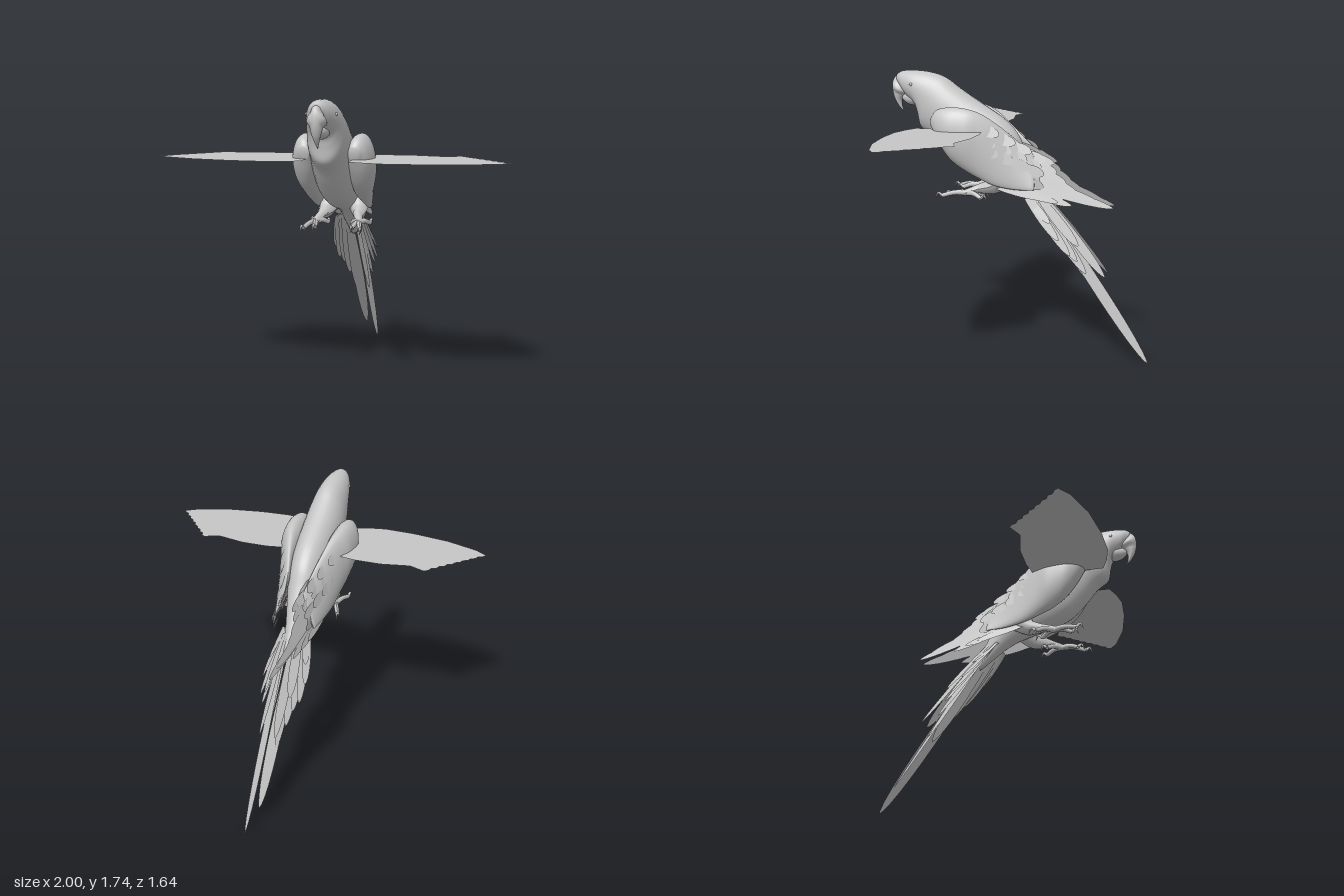
import * as THREE from 'three';

const V = (x, y, z) => new THREE.Vector3(x, y, z);
const plumage = new THREE.MeshStandardMaterial({ color: 0xc6c6c6, side: THREE.DoubleSide });
plumage.name = 'plain grey';

function add(parent, name, geometry) {
  const mesh = new THREE.Mesh(geometry, plumage);
  mesh.name = name;
  parent.add(mesh);
  return mesh;
}

// Smooth skin over oval rings: [topZ, topY, bottomZ, bottomY, halfWidth, centreX, lean of the top toward -x]
function loft(rings, steps = 40, sides = 32) {
  const curve = f => new THREE.CatmullRomCurve3(rings.map(([tz, ty, bz, by, w, x = 0, lean = 0]) => f(tz, ty, bz, by, w, x, lean)));
  const top = curve((tz, ty, bz, by, w, x, lean) => V(x - lean, ty, tz));
  const bottom = curve((tz, ty, bz, by, w, x, lean) => V(x + lean, by, bz));
  const width = curve((tz, ty, bz, by, w) => V(w, 0, 0));
  const pos = [], index = [];
  for (let i = -1; i <= steps + 1; i++) {
    const t = Math.min(Math.max(i / steps, 0), 1);
    const closed = i < 0 || i > steps ? 0 : 1;
    const a = top.getPoint(t), b = bottom.getPoint(t), w = width.getPoint(t).x * closed;
    const c = a.clone().add(b).multiplyScalar(0.5);
    const h = a.sub(b).multiplyScalar(0.5 * closed);
    for (let j = 0; j < sides; j++) {
      const q = j / sides * Math.PI * 2, k = Math.cos(q);
      pos.push(c.x + w * Math.sin(q) + h.x * k, c.y + h.y * k, c.z + h.z * k);
    }
  }
  for (let i = 0; i < steps + 2; i++) for (let j = 0; j < sides; j++) {
    const k = (j + 1) % sides, r = i * sides, n = r + sides;
    index.push(r + j, r + k, n + j, r + k, n + k, n + j);
  }
  const g = new THREE.BufferGeometry();
  g.setAttribute('position', new THREE.Float32BufferAttribute(pos, 3));
  g.setIndex(index);
  g.computeVertexNormals();
  return g;
}

// Thin pointed blade from root to tip, spread along the side vector
function feather(root, tip, width, side) {
  const dir = tip.clone().sub(root), len = dir.length();
  dir.normalize();
  const across = side.clone().addScaledVector(dir, -side.dot(dir)).normalize();
  const normal = across.clone().cross(dir);
  const w = width / 2;
  const s = new THREE.Shape();
  s.moveTo(-w * 0.5, 0);
  s.bezierCurveTo(-w, len * 0.3, -w * 1.15, len * 0.85, -w * 0.2, len * 0.99);
  s.lineTo(0, len);
  s.bezierCurveTo(w * 0.9, len * 0.93, w * 1.15, len * 0.5, w * 0.5, 0);
  const g = new THREE.ShapeGeometry(s, 10);
  return g.applyMatrix4(new THREE.Matrix4().makeBasis(across, dir, normal).setPosition(root));
}

// Tapered tube for legs, toes and claws
function limb(points, r0, r1) {
  const g = new THREE.TubeGeometry(new THREE.CatmullRomCurve3(points), 12, 1, 8);
  const p = g.attributes.position, c = V(0, 0, 0), v = V(0, 0, 0);
  for (let i = 0; i < p.count; i++) {
    const t = Math.floor(i / 9) / 12;
    g.parameters.path.getPointAt(t, c);
    v.fromBufferAttribute(p, i).sub(c).multiplyScalar(r0 + (r1 - r0) * t).add(c);
    p.setXYZ(i, v.x, v.y, v.z);
  }
  g.computeVertexNormals();
  return g;
}

export function createModel() {
  const bird = new THREE.Group();
  bird.name = 'perched bird';

  // Head, trunk and rump
  add(bird, 'body', loft([
    [0.79, 1.715, 0.775, 1.65, 0.03], [0.76, 1.733, 0.72, 1.58, 0.06], [0.68, 1.74, 0.665, 1.53, 0.084],
    [0.58, 1.733, 0.65, 1.47, 0.096], [0.48, 1.705, 0.635, 1.395, 0.107], [0.4, 1.65, 0.565, 1.34, 0.118],
    [0.3, 1.585, 0.49, 1.25, 0.124], [0.2, 1.525, 0.4, 1.16, 0.127], [0.1, 1.46, 0.29, 1.105, 0.12],
    [0.02, 1.375, 0.17, 1.07, 0.105], [-0.03, 1.27, 0.05, 1.03, 0.082], [-0.09, 1.15, -0.03, 0.985, 0.062],
    [-0.15, 1.03, -0.1, 0.93, 0.045], [-0.22, 0.92, -0.19, 0.86, 0.025],
  ], 60));

  // Hooked beak
  add(bird, 'upperBeak', loft([
    [0.757, 1.485, 0.753, 1.487, 0.002], [0.785, 1.52, 0.764, 1.525, 0.014], [0.808, 1.56, 0.762, 1.56, 0.025],
    [0.822, 1.62, 0.735, 1.59, 0.036], [0.812, 1.69, 0.71, 1.61, 0.036], [0.765, 1.728, 0.69, 1.63, 0.032],
  ], 24, 20));
  add(bird, 'lowerBeak', loft([
    [0.762, 1.585, 0.752, 1.555, 0.014], [0.745, 1.6, 0.725, 1.535, 0.03],
    [0.7, 1.615, 0.695, 1.527, 0.045], [0.65, 1.62, 0.65, 1.53, 0.05],
  ], 16, 20));

  for (const s of [1, -1]) {
    const side = new THREE.Group();
    side.name = s > 0 ? 'leftSide' : 'rightSide';
    bird.add(side);
    const P = (x, y, z) => V(s * x, y, z);

    const eye = add(side, 'eye', new THREE.SphereGeometry(0.01, 16, 12));
    eye.position.set(s * 0.079, 1.66, 0.67);

    // Folded wing, its rear leaning in over the back
    add(side, 'foldedWing', loft([
      [0.52, 1.47, 0.51, 1.41, 0.03, 0.14], [0.48, 1.52, 0.455, 1.31, 0.06, 0.152],
      [0.38, 1.54, 0.385, 1.22, 0.08, 0.156], [0.28, 1.53, 0.3, 1.16, 0.079, 0.15],
      [0.2, 1.5, 0.22, 1.12, 0.062, 0.143, 0.01], [0.1, 1.43, 0.12, 1.08, 0.042, 0.13, 0.025],
      [0, 1.345, 0, 1.06, 0.027, 0.11, 0.035], [-0.1, 1.26, -0.12, 1.06, 0.01, 0.095, 0.04],
    ].map(([a, b, c, d, w, x, lean = 0]) => [a, b, c, d, w, s * x, s * lean])));

    // Flight feathers: root y, z, then tip x, y, z, width
    for (const [ry, rz, x, y, z, w] of [
      [1.13, 0.08, 0.035, 0.96, -0.58, 0.07], [1.15, 0.05, 0.05, 0.99, -0.5, 0.075],
      [1.1, 0.1, 0.085, 0.97, -0.34, 0.065], [1.09, 0.12, 0.105, 0.99, -0.26, 0.06],
      [1.08, 0.14, 0.12, 1.01, -0.18, 0.06], [1.18, 0.02, 0.06, 1.05, -0.36, 0.085],
      [1.21, 0.02, 0.06, 1.1, -0.3, 0.085], [1.25, 0.04, 0.05, 1.16, -0.24, 0.085],
      [1.29, 0.06, 0.035, 1.21, -0.22, 0.075], [1.31, 0.08, 0.04, 1.25, -0.13, 0.07],
    ]) add(side, 'flightFeather', feather(P(0.135 - (ry - 1.08) * 0.25, ry, rz), P(x, y, z), w, P(-0.3, 1, 0)));

    // Staggered covert feathers on the wing
    [[0.22, 0.192], [0.13, 0.166], [0.04, 0.142], [-0.04, 0.12]].forEach(([z, x], row) => {
      for (let i = 0; i < 5; i++) {
        const u = (i - 2) / 2, y = 1.31 - row * 0.038 + u * (0.12 - row * 0.015);
        const rx = x - 0.018 * u * u - u * 0.009 * row, rz = z + 0.02 * (i % 2);
        add(side, 'covertFeather', feather(P(rx, y, rz), P(rx - 0.025, y - 0.045, rz - 0.13), 0.075, P(-0.2 - 0.2 * u, 1, 0)));
      }
    });

    // Side tail feathers: tip x, y, z, width, root z
    for (const [x, y, z, w, rz] of [
      [0.115, 0.86, -0.21, 0.06, -0.06], [0.135, 0.76, -0.27, 0.065, -0.06], [0.125, 0.67, -0.34, 0.07, -0.07],
      [0.1, 0.63, -0.38, 0.075, -0.08], [0.075, 0.55, -0.43, 0.08, -0.09], [0.05, 0.53, -0.54, 0.075, -0.15],
      [0.04, 0.43, -0.5, 0.08, -0.12], [0.08, 0.72, -0.38, 0.075, -0.13],
    ]) add(side, 'tailFeather', feather(P(x * 0.6, 1.0, rz), P(x, y, z), w, P(0.65, -0.45, 0.55)));

    // Leg, toes and claws
    add(side, 'thigh', limb([P(0.08, 1.12, 0.09), P(0.098, 1.07, 0.14), P(0.11, 1.045, 0.23)], 0.07, 0.027));
    add(side, 'foot', limb([P(0.1, 1.06, 0.2), P(0.12, 1.035, 0.27), P(0.13, 1.018, 0.32)], 0.028, 0.019));
    for (const [x, z] of [[0.165, 0.45], [0.105, 0.41], [0.175, 0.2], [0.07, 0.22]]) {
      const f = z > 0.3 ? 1 : -1;
      add(side, 'toe', limb([P(0.127, 1.02, 0.3), P((x + 0.127) / 2, 1.022, (z + 0.3) / 2), P(x, 1.003, z)], 0.018, 0.013));
      add(side, 'claw', limb([P(x, 1.003, z), P(x + 0.004, 1.02, z + f * 0.022), P(x + 0.006, 0.985, z + f * 0.04)], 0.011, 0.002));
    }

    // Flat outspread wing plate with a scalloped trailing edge
    const outline = [[0.13, 0.19], [0.13, 0.62], [0.22, 0.655], [0.33, 0.678], [0.52, 0.668], [0.74, 0.63], [0.93, 0.56], [1, 0.508]];
    for (let i = 1; i < 16; i++) {
      const t = i / 16, n = i % 2 ? 0.004 : -0.004;
      outline.push([1 - 0.3 * t + n, 0.508 - 0.34 * t - n]);
    }
    outline.push([0.7, 0.168], [0.61, 0.207], [0.44, 0.17], [0.28, 0.17], [0.2, 0.185]);
    const plate = new THREE.ShapeGeometry(new THREE.Shape(outline.map(([x, z]) => new THREE.Vector2(s * x, -z))));
    add(side, 'outspreadWing', plate.rotateX(-Math.PI / 2).translate(0, 1.403, 0));
  }

  // Two long central tail feathers of unequal length
  add(bird, 'longTailFeather', feather(V(0.04, 0.95, -0.16), V(0.042, 0, -0.815), 0.09, V(0.75, -0.45, 0.5)));
  add(bird, 'longTailFeather', feather(V(-0.025, 0.95, -0.15), V(-0.015, 0.13, -0.715), 0.085, V(-0.75, -0.4, 0.45)));
  return bird;
}
